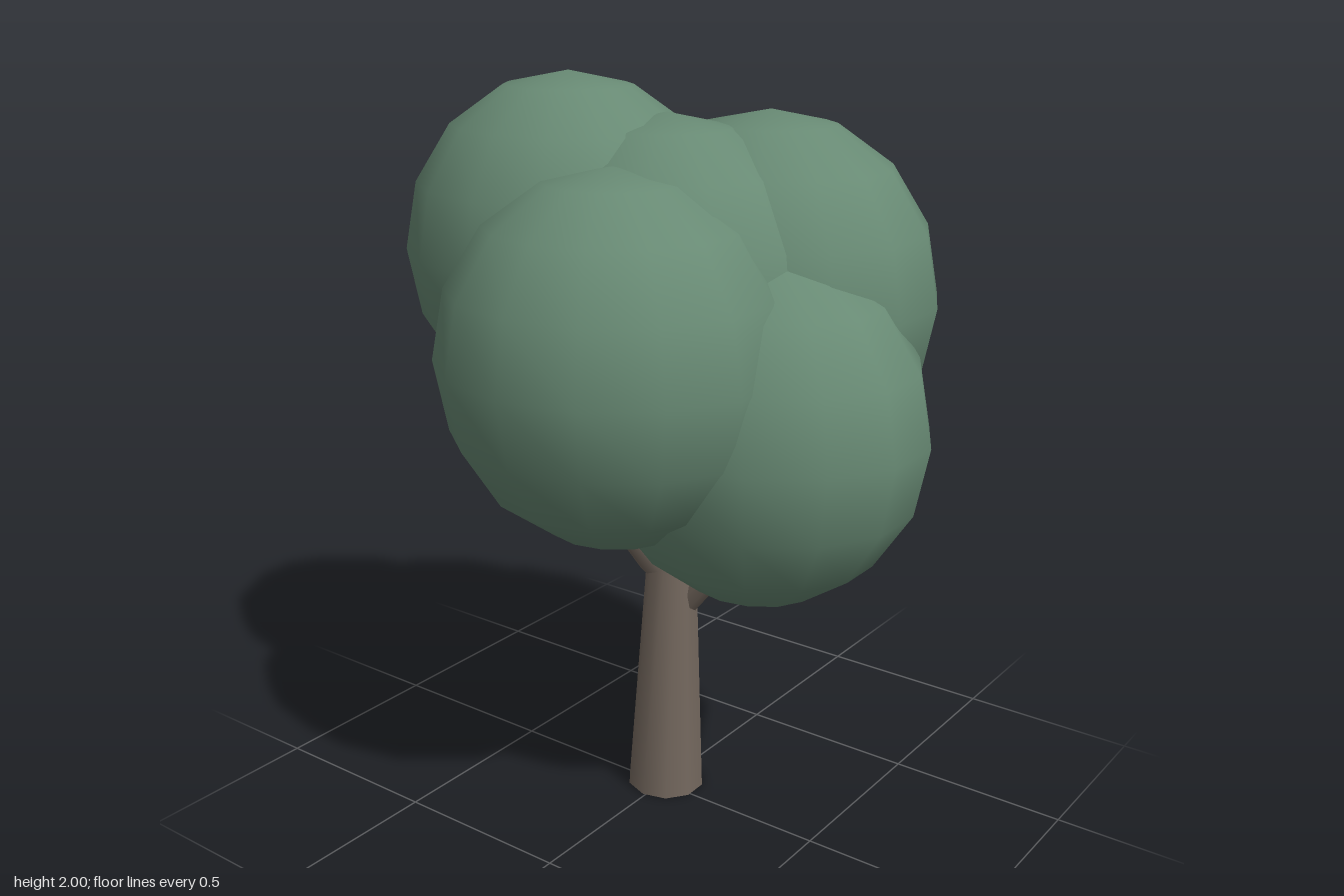
import * as THREE from 'three';

export function createModel() {
  const tree = new THREE.Group();
  tree.name = 'tree';
  const bark = new THREE.MeshStandardMaterial({ color: 0x75695f });
  const leaves = new THREE.MeshStandardMaterial({ color: 0x688a74 });

  // Tapered limb running from one point to another
  function limb(name, from, to, r0, r1, sides) {
    const a = new THREE.Vector3(...from);
    const b = new THREE.Vector3(...to);
    const dir = b.clone().sub(a);
    const mesh = new THREE.Mesh(new THREE.CylinderGeometry(r1, r0, dir.length(), sides), bark);
    mesh.name = name;
    mesh.position.copy(a).add(b).multiplyScalar(0.5);
    mesh.quaternion.setFromUnitVectors(new THREE.Vector3(0, 1, 0), dir.normalize());
    tree.add(mesh);
  }

  // Leaning trunk and three short branches reaching into the crown
  limb('trunk', [-0.005, 0.005, -0.025], [0.035, 1.05, -0.01], 0.11, 0.052, 10);
  limb('leftBranch', [0.06, 0.585, -0.03], [0.27, 0.83, -0.03], 0.038, 0.028, 8);
  limb('rightBranch', [-0.01, 0.59, -0.06], [-0.18, 0.88, -0.17], 0.038, 0.028, 8);
  limb('frontBranch', [0, 0.71, 0.04], [-0.01, 0.95, 0.24], 0.038, 0.028, 8);

  // Overlapping leaf clumps: name, centre, radii
  const clumps = [
    ['upperRightClump', [-0.28, 1.535, 0.025], [0.462, 0.465, 0.405]],
    ['frontClump', [0.025, 1.33, 0.235], [0.462, 0.478, 0.435]],
    ['lowerLeftClump', [0.28, 1.14, -0.03], [0.462, 0.475, 0.405]],
    ['upperBackClump', [0.165, 1.43, -0.245], [0.462, 0.478, 0.43]],
    ['lowerBackClump', [-0.21, 1.235, -0.22], [0.462, 0.475, 0.425]],
    ['middleClump', [0, 1.43, -0.02], [0.46, 0.48, 0.42]],
  ];
  const ball = new THREE.SphereGeometry(1, 14, 8).rotateY(Math.PI / 2);
  for (const [name, centre, radii] of clumps) {
    const mesh = new THREE.Mesh(ball, leaves);
    mesh.name = name;
    mesh.position.set(...centre);
    mesh.scale.set(...radii);
    tree.add(mesh);
  }
  return tree;
}
